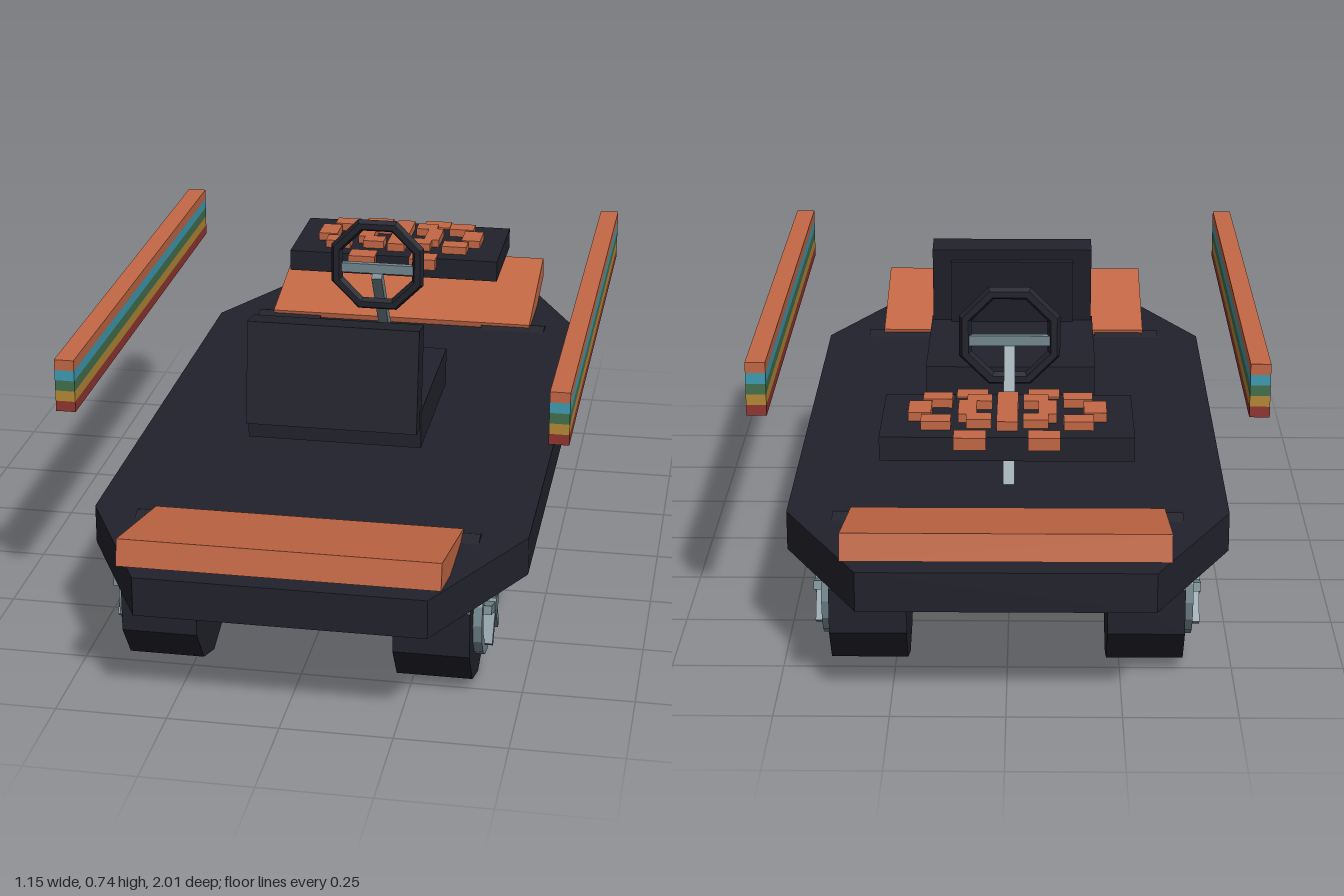
import * as THREE from 'three';

const mat = (name, color) => {
  const m = new THREE.MeshStandardMaterial({ color, flatShading: true });
  m.name = name;
  return m;
};

export function createModel() {
  const model = new THREE.Group();
  model.name = 'hoverCart';
  const dark = mat('charcoal', 0x22222c);
  const orange = mat('orange', 0xc46845);
  const teal = mat('teal', 0x3f9db4);
  const green = mat('green', 0x44714e);
  const mustard = mat('mustard', 0xb78a36);
  const red = mat('red', 0x923630);
  const steel = mat('steel', 0x748890);
  const lime = mat('lime', 0xcac85a);

  const add = (name, geo, material, x = 0, y = 0, z = 0, parent = model) => {
    const m = new THREE.Mesh(geo, material);
    m.name = name;
    m.position.set(x, y, z);
    parent.add(m);
    return m;
  };
  const box = (name, material, w, h, d, x, y, z, parent) =>
    add(name, new THREE.BoxGeometry(w, h, d), material, x, y, z, parent);

  // Deck: a slab with tapered ends
  const outline = [[0.495, -0.645], [0.495, 0.645], [0.32, 0.99], [-0.32, 0.99],
    [-0.495, 0.645], [-0.495, -0.645], [-0.32, -0.99], [0.32, -0.99]];
  const deckShape = new THREE.Shape(outline.map(([x, z]) => new THREE.Vector2(x, z)));
  const deckGeo = new THREE.ExtrudeGeometry(deckShape, { depth: 0.09, bevelEnabled: false });
  deckGeo.rotateX(-Math.PI / 2);
  add('deck', deckGeo, dark, 0, 0.24, 0);

  // Sloped end plates
  for (const s of [1, -1]) {
    const plate = box('endPlate', orange, 0.7, 0.06, 0.346, 0, 0.353, s * 0.829);
    plate.rotation.x = -s * 0.22;
  }

  // Wheels: tyre, rim ring, hub and five spokes, built facing +x
  const ringShape = new THREE.Shape().absarc(0, 0, 0.112, 0, Math.PI * 2);
  ringShape.holes.push(new THREE.Path().absarc(0, 0, 0.084, 0, Math.PI * 2, true));
  const ringGeo = new THREE.ExtrudeGeometry(ringShape, { depth: 0.022, bevelEnabled: false, curveSegments: 8 });
  ringGeo.rotateY(Math.PI / 2);
  const tyreGeo = new THREE.CylinderGeometry(0.17, 0.17, 0.17, 10);
  tyreGeo.rotateY(Math.PI / 2).rotateZ(-Math.PI / 2);
  const hubGeo = new THREE.CylinderGeometry(0.024, 0.024, 0.04, 10).rotateZ(Math.PI / 2);
  const spokeGeo = new THREE.BoxGeometry(0.026, 0.08, 0.02).translate(0, 0.05, 0);
  for (const side of [1, -1]) {
    for (const z of [0.667, -0.667]) {
      const wheel = new THREE.Group();
      wheel.name = 'wheel';
      wheel.position.set(side * 0.305, 0.17, z);
      if (side < 0) wheel.rotation.y = Math.PI;
      add('tyre', tyreGeo, dark, 0, 0, 0, wheel);
      add('rim', ringGeo, steel, 0.083, 0, 0, wheel);
      add('hub', hubGeo, steel, 0.105, 0, 0, wheel);
      for (let i = 0; i < 5; i++) {
        add('spoke', spokeGeo, steel, 0.11, 0, 0, wheel).rotation.x = (i * Math.PI * 2) / 5;
      }
      model.add(wheel);
    }
    // Round lift pads under the deck
    add('liftPad', new THREE.CylinderGeometry(0.135, 0.135, 0.066, 10).rotateY(Math.PI / 2),
      lime, side * 0.335, 0.193, 0.405);
    // Floating striped side rails
    [red, mustard, green, teal, orange].forEach((m, i) =>
      box('railStripe', m, 0.045, 0.0246, 1.288, side * 0.554, 0.5693 + i * 0.0246, 0));
  }

  // Seat
  box('seatBase', dark, 0.41, 0.092, 0.415, 0, 0.438, 0.125);
  const back = new THREE.Group();
  back.name = 'seatBack';
  back.position.set(0, 0.56, 0.325);
  back.rotation.x = -0.13;
  box('backrest', dark, 0.402, 0.245, 0.072, 0, 0, 0, back);
  box('backCushion', dark, 0.31, 0.19, 0.016, 0, 0, -0.042, back);
  model.add(back);

  // Steering wheel and column
  add('steeringWheel', new THREE.TorusGeometry(0.112, 0.016, 6, 8).rotateZ(Math.PI / 8),
    dark, 0, 0.625, -0.274);
  box('steeringBar', steel, 0.2, 0.024, 0.016, 0, 0.615, -0.276);
  const top = new THREE.Vector3(0, 0.6, -0.268), foot = new THREE.Vector3(0, 0.32, -0.465);
  const column = add('steeringColumn',
    new THREE.BoxGeometry(0.026, top.distanceTo(foot), 0.026), steel);
  column.position.copy(top).lerp(foot, 0.5);
  column.rotation.x = Math.atan2(top.z - foot.z, top.y - foot.y);

  // Control console with raised blocks: [x, z, width, depth, y]
  box('console', dark, 0.55, 0.054, 0.282, 0, 0.538, -0.661);
  box('consoleBar', orange, 0.046, 0.03, 0.2, 0, 0.571, -0.66);
  const blocks = [
    [0.192, 0, 0.05, 0.08, 0.571], [0.088, 0, 0.04, 0.095, 0.571],
    [0.155, 0.073, 0.065, 0.048, 0.571], [0.155, -0.073, 0.065, 0.048, 0.571],
    [0.062, 0.062, 0.055, 0.045, 0.571], [0.062, -0.062, 0.055, 0.045, 0.571],
    [0.08, 0.139, 0.07, 0.055, 0.555], [0.08, -0.132, 0.07, 0.052, 0.555],
  ];
  for (const side of [1, -1]) {
    for (const [x, z, w, d, y] of blocks) {
      box('consoleBlock', orange, w, 0.028, d, side * x, y, -0.66 + z);
    }
  }
  return model;
}
